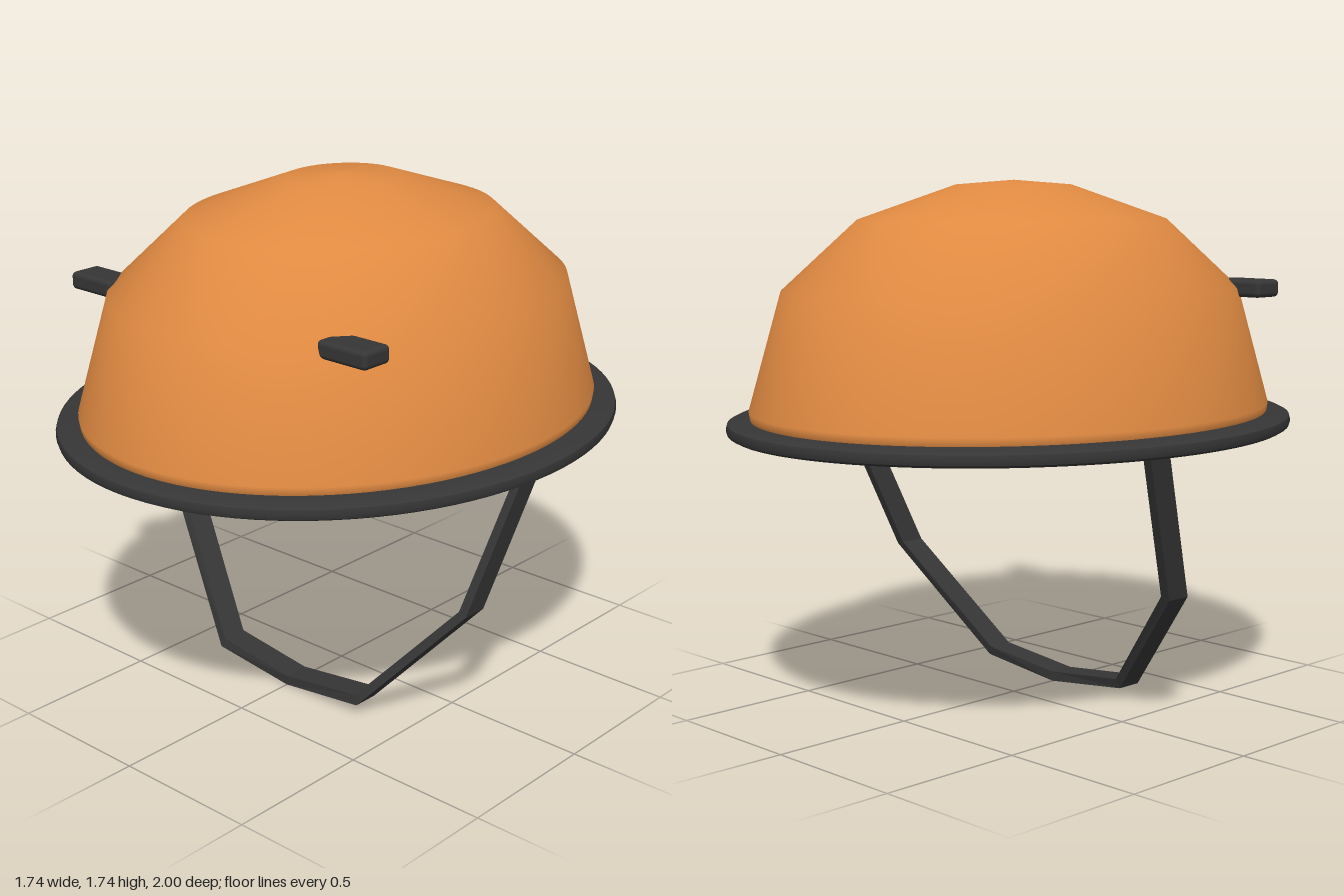
import * as THREE from 'three';
import { toCreasedNormals } from 'three/addons/utils/BufferGeometryUtils.js';
import { RoundedBoxGeometry } from 'three/addons/geometries/RoundedBoxGeometry.js';

const v2 = (pts) => pts.map(([x, y]) => new THREE.Vector2(x, y));

export function createModel() {
  const model = new THREE.Group();
  model.name = 'helmet';

  const orange = new THREE.MeshStandardMaterial({ color: 0xe08a42, side: THREE.DoubleSide });
  orange.name = 'orange shell';
  const black = new THREE.MeshStandardMaterial({ color: 0x363636 });
  black.name = 'black rubber';

  const add = (name, geometry, material) => {
    const mesh = new THREE.Mesh(geometry, material);
    mesh.name = name;
    model.add(mesh);
    return mesh;
  };

  // Oval dome, open below
  const dome = new THREE.LatheGeometry(v2([
    [0.762, 0.94], [0.785, 0.965], [0.79, 1.0], [0.692, 1.385],
    [0.468, 1.612], [0.175, 1.725], [0.001, 1.74],
  ]), 96);
  dome.scale(1, 1, 1.175);
  add('shell', dome, orange);

  // Oval brim ring with bevelled edges
  const ring = new THREE.LatheGeometry(v2([
    [0.875, 0.92], [0.98, 0.92], [0.995, 0.928], [1.0, 0.943], [0.995, 0.96],
    [0.98, 0.967], [0.9, 0.975], [0.875, 0.972], [0.863, 0.96], [0.863, 0.932], [0.875, 0.92],
  ]), 96);
  ring.scale(0.87, 1, 1);
  add('brim', toCreasedNormals(ring, 0.7), black);

  // Clips half sunk into the front of the shell
  for (const [side, name] of [[1, 'leftClip'], [-1, 'rightClip']]) {
    const clip = add(name, new RoundedBoxGeometry(0.19, 0.058, 0.115, 3, 0.016), black);
    clip.position.set(side * 0.543, 1.385, 0.552);
  }

  // Chin strap: a mirrored ribbon outline, extruded in z and swept forward
  const outer = [[0.747, 0.96], [0.655, 0.418], [0.318, 0.037], [0, 0]];
  const inner = [[0.717, 0.96], [0.624, 0.428], [0.305, 0.068], [0, 0.033]];
  const mirrored = (half) => [...half, ...half.slice(0, 3).reverse().map(([x, y]) => [-x, y])];
  const outline = [...mirrored(outer), ...mirrored(inner).reverse()];
  const strap = new THREE.ExtrudeGeometry(new THREE.Shape(v2(outline)), { depth: 0.09, bevelEnabled: false });
  strap.translate(0, 0, -0.045);
  const sweep = (y) => y < 0.423
    ? THREE.MathUtils.mapLinear(Math.max(y, 0.05), 0.05, 0.423, 0.235, 0.09)
    : THREE.MathUtils.mapLinear(y, 0.423, 0.96, 0.09, -0.12);
  const p = strap.attributes.position;
  for (let i = 0; i < p.count; i++) p.setZ(i, p.getZ(i) + sweep(p.getY(i)));
  strap.computeVertexNormals();
  add('chinStrap', strap, black);

  return model;
}
